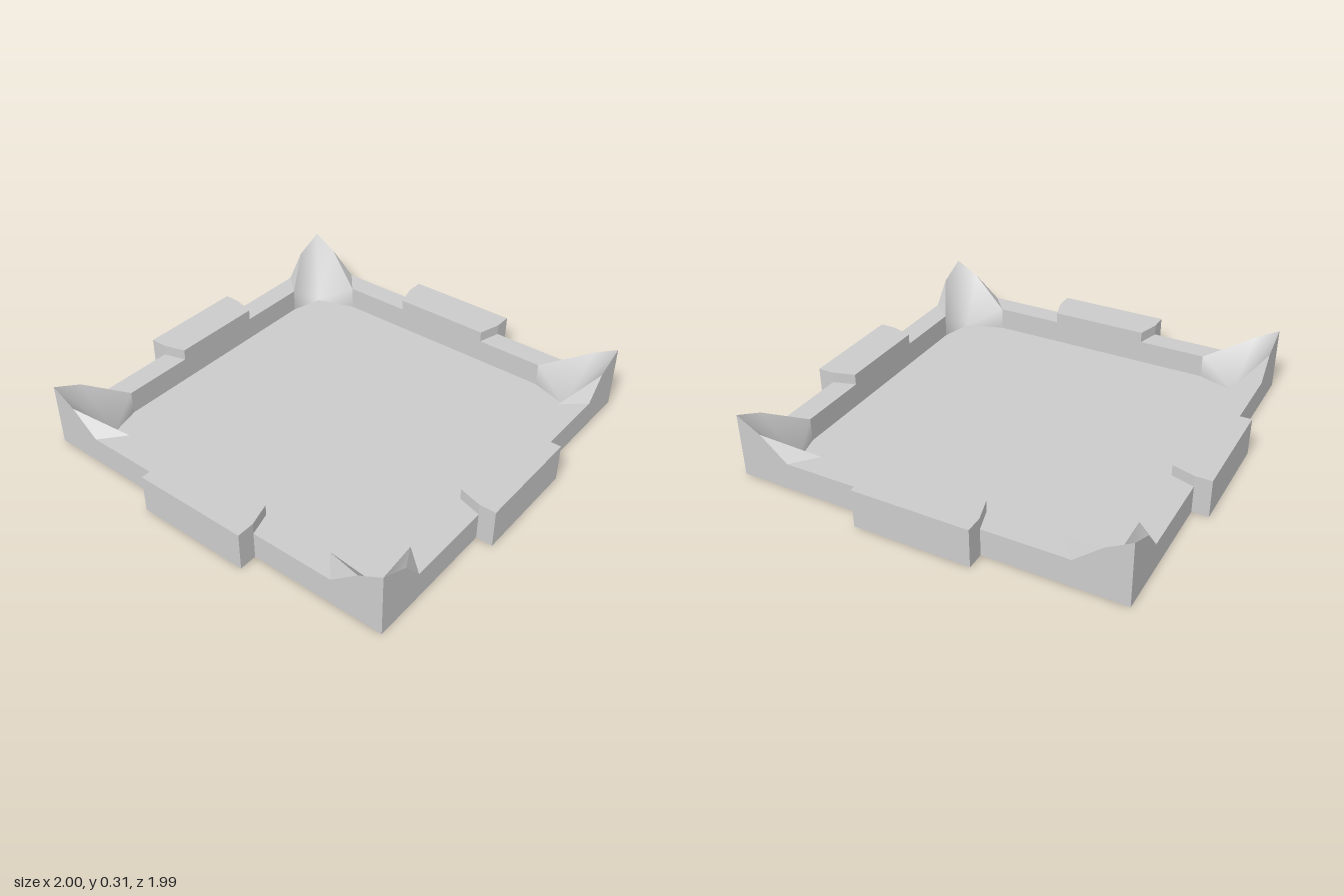
import * as THREE from 'three';

const material = new THREE.MeshStandardMaterial({ color: 0xcccccc });
const WALL = 0.13, FLOOR = 0.016, TAB = 0.183;

function addMesh(parent, name, geometry) {
  const mesh = new THREE.Mesh(geometry, material);
  mesh.name = name;
  parent.add(mesh);
}

// Upright prism from a plan outline of [x, z] points, standing on y = 0
function prism(plan, height) {
  const shape = new THREE.Shape(plan.map(([x, z]) => new THREE.Vector2(x, -z)));
  return new THREE.ExtrudeGeometry(shape, { depth: height, bevelEnabled: false }).rotateX(-Math.PI / 2);
}

// Named corner points, given for the +x +z corner
const P = {
  wallA: [0.586, WALL, 0.806], floorA: [0.586, FLOOR, 0.806], baseA: [0.586, 0, 0.806],
  wallB: [0.805, WALL, 0.576], floorB: [0.805, FLOOR, 0.576], baseB: [0.805, 0, 0.576],
  mid: [0.743, FLOOR, 0.763], baseMid: [0.743, 0, 0.763],
  peak: [0.917, 0.305, 0.916], basePeak: [0.917, 0, 0.916],
  ridgeA: [0.776, 0.24, 0.916], footA: [0.684, WALL, 0.916], outA: [0.684, 0, 0.916],
  ridgeB: [0.917, 0.24, 0.8], footB: [0.917, WALL, 0.67], outB: [0.917, 0, 0.67],
};

// Concave inner surface: a fan of triangles around the floor corner
const innerRim = ['floorA', 'wallA', 'ridgeA', 'peak', 'ridgeB', 'wallB', 'floorB'];
const innerFaces = innerRim.slice(1).map((name, i) => [innerRim[i], name, 'mid']);

// Ramp facets, two outer faces and the underside
const shellFaces = [
  ['wallA', 'footA', 'ridgeA'], ['wallB', 'ridgeB', 'footB'],
  ['outA', 'basePeak', 'peak'], ['outA', 'peak', 'ridgeA'], ['outA', 'ridgeA', 'footA'],
  ['outB', 'peak', 'basePeak'], ['outB', 'ridgeB', 'peak'], ['outB', 'footB', 'ridgeB'],
  ['baseMid', 'outA', 'baseA'], ['baseMid', 'basePeak', 'outA'],
  ['baseMid', 'outB', 'basePeak'], ['baseMid', 'baseB', 'outB'],
];

// Geometry from named triangles, mirrored by the signs sx and sz
function cornerGeometry(faces, sx, sz, smooth) {
  const names = Object.keys(P);
  const positions = names.flatMap((n) => [P[n][0] * sx, P[n][1], P[n][2] * sz]);
  const index = faces.flatMap(([a, b, c]) => (sx * sz > 0 ? [a, b, c] : [a, c, b]).map((n) => names.indexOf(n)));
  let geometry = new THREE.BufferGeometry();
  geometry.setAttribute('position', new THREE.Float32BufferAttribute(positions, 3));
  geometry.setIndex(index);
  geometry = smooth ? geometry : geometry.toNonIndexed();
  geometry.computeVertexNormals();
  return geometry;
}

export function createModel() {
  const model = new THREE.Group();
  model.name = 'tray';

  // Sunken floor with cut corners
  const quarter = [[0.586, 0.806], [0.743, 0.763], [0.805, 0.576]];
  const flip = (sx, sz) => quarter.map(([x, z]) => [x * sx, z * sz]);
  addMesh(model, 'floor', prism([
    ...flip(1, 1), ...flip(1, -1).reverse(), ...flip(-1, -1), ...flip(-1, 1).reverse(),
  ], FLOOR));

  // Low walls and raised tabs; "along" runs beside the wall, "out" away from the centre
  const sides = [
    { name: 'front', toXZ: (a, o) => [a, o], inner: 0.806, outer: 0.916, edge: 0.993, tabIn: 0.233, tabOut: 0.265, endIn: 0.586, endOut: 0.684 },
    { name: 'left', toXZ: (a, o) => [o, a], inner: 0.805, outer: 0.917, edge: 1, tabIn: 0.242, tabOut: 0.275, endIn: 0.576, endOut: 0.67 },
  ];
  const opposite = { front: 'back', left: 'right' };
  for (const s of sides) {
    for (const dir of [1, -1]) {
      const side = dir > 0 ? s.name : opposite[s.name];
      const plan = (points) => points.map(([a, o]) => s.toXZ(a, o * dir));
      addMesh(model, side + 'Tab', prism(plan([
        [-s.tabIn, s.inner], [s.tabIn, s.inner], [s.tabOut, s.outer],
        [s.tabOut, s.edge], [-s.tabOut, s.edge], [-s.tabOut, s.outer],
      ]), TAB));
      for (const end of [1, -1]) {
        addMesh(model, side + 'Wall', prism(plan([
          [s.tabIn * end, s.inner], [s.endIn * end, s.inner],
          [s.endOut * end, s.outer], [s.tabOut * end, s.outer],
        ]), WALL));
      }
    }
  }

  // Four peaked corners
  for (const sx of [1, -1]) {
    for (const sz of [1, -1]) {
      const corner = new THREE.Group();
      corner.name = (sz > 0 ? 'front' : 'back') + (sx > 0 ? 'Left' : 'Right') + 'Corner';
      addMesh(corner, 'cornerHollow', cornerGeometry(innerFaces, sx, sz, true));
      addMesh(corner, 'cornerShell', cornerGeometry(shellFaces, sx, sz, false));
      model.add(corner);
    }
  }
  return model;
}
